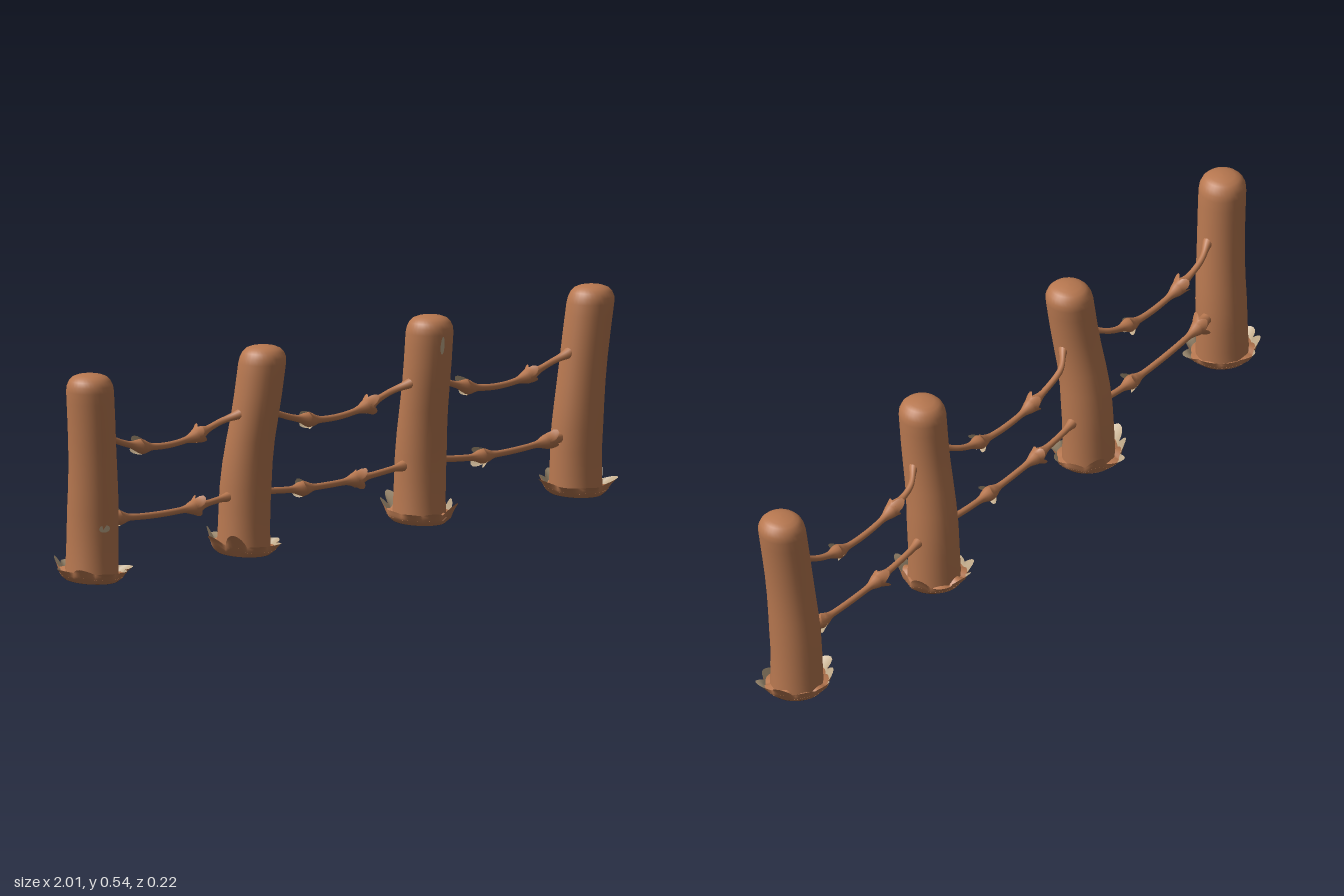
import * as THREE from 'three';

const bark = new THREE.MeshStandardMaterial({ color: 0xb87850, side: THREE.DoubleSide });
bark.name = 'brownBark';
const innerBark = new THREE.MeshStandardMaterial({ color: 0xc0aa8a, side: THREE.DoubleSide });
innerBark.name = 'paleInnerBark';
const hollow = new THREE.MeshStandardMaterial({ color: 0x2e180a, side: THREE.DoubleSide });
hollow.name = 'darkUnderside';

// Seeded random numbers
let seed = 11;
const rand = () => (seed = (seed * 16807) % 2147483647) / 2147483647;

// Closed-around surface: at(row, angle, column) gives each point; flip turns it inside out
function loft(rows, n, at, flip = false) {
  const pos = [], idx = [];
  for (let i = 0; i < rows; i++)
    for (let j = 0; j < n; j++) pos.push(...at(i, (j / n) * Math.PI * 2, j));
  for (let i = 0; i < rows - 1; i++)
    for (let j = 0; j < n; j++) {
      const a = i * n + j, b = i * n + ((j + 1) % n), c = a + n, d = b + n;
      if (flip) idx.push(a, c, b, b, c, d);
      else idx.push(a, b, c, b, d, c);
    }
  const g = new THREE.BufferGeometry();
  g.setAttribute('position', new THREE.Float32BufferAttribute(pos, 3));
  g.setIndex(idx);
  g.computeVertexNormals();
  return g;
}

function add(parent, name, geometry, material) {
  const m = new THREE.Mesh(geometry, material);
  m.name = name;
  parent.add(m);
  return m;
}

// Uneven torn edge: for a column gives the flap's size, flare and rise (0 to 1)
function tornEdge(flaps, per) {
  const tips = Array.from({ length: flaps }, () => ({
    size: rand(), flare: rand(), peak: 0.3 + 0.4 * rand(),
  }));
  return (j) => {
    const tip = tips[Math.floor(j / per)], u = (j % per) / per;
    const rise = u < tip.peak ? u / tip.peak : (1 - u) / (1 - tip.peak);
    return { ...tip, rise: Math.sin((rise * Math.PI) / 2) };
  };
}

// Radius of a post at each height, ending in a rounded top
const profile = [
  [0.012, 0.069], [0.06, 0.067], [0.12, 0.066], [0.18, 0.066], [0.24, 0.064], [0.3, 0.062],
  [0.36, 0.061], [0.42, 0.061], [0.47, 0.061], [0.5, 0.061], [0.515, 0.059], [0.528, 0.053],
  [0.537, 0.044], [0.542, 0.031], [0.545, 0.015], [0.5455, 0],
];

// Centre lines of the posts: x and z at heights 0, 0.13, 0.26, 0.39, 0.52
const posts = [
  { x: [-0.895, -0.893, -0.902, -0.915, -0.928], z: [0, 0.002, 0.012, 0.02, 0.025] },
  { x: [-0.33, -0.328, -0.327, -0.321, -0.31], z: [0, 0.002, 0.014, 0.037, 0.05] },
  { x: [0.322, 0.324, 0.32, 0.314, 0.313], z: [0, 0.002, 0.014, 0.035, 0.047] },
  { x: [0.904, 0.903, 0.907, 0.917, 0.931], z: [0, 0.003, 0.012, 0.021, 0.03] },
];

function makePost({ x, z }) {
  const group = new THREE.Group();
  group.name = 'post';
  const line = new THREE.CatmullRomCurve3(x.map((v, i) => new THREE.Vector3(v, i * 0.13, z[i])));
  add(group, 'trunk', loft(profile.length, 32, (i, a) => {
    const [y, r] = profile[i], c = line.getPoint(Math.min(y / 0.52, 1));
    return [c.x + r * Math.sin(a), y, c.z + r * Math.cos(a)];
  }), bark);

  // Torn bark collar: brown outside, brown shelf against the trunk, pale inside the flaps
  const per = 8, n = 9 * per, edge = tornEdge(9, per), shelf = 0.45;
  const collar = (t, a, j, inset = 0) => {
    const { size, flare, rise } = edge(j);
    const r = 0.068 + 0.015 * Math.sin(Math.min(t * 1.7, 1) * Math.PI / 2)
      + (0.004 + 0.026 * flare) * rise * t * t - inset;
    return [x[0] + r * Math.sin(a),
      0.008 - 0.07 * r * Math.cos(a) + (0.028 + (0.004 + 0.03 * size * size) * rise) * t,
      z[0] + r * Math.cos(a)];
  };
  add(group, 'barkCollarOutside', loft(6, n, (i, a, j) => collar(i / 5, a, j)), bark);
  add(group, 'barkCollarInside', loft(4, n, (i, a, j) =>
    collar(shelf + ((1 - shelf) * i) / 3, a, j, 0.001 * (3 - i)), true), innerBark);
  add(group, 'barkCollarShelf', loft(2, n, (i, a, j) => {
    const p = collar(shelf, a, j);
    return i ? p : [x[0] + 0.064 * Math.sin(a), p[1] + 0.004, z[0] + 0.064 * Math.cos(a)];
  }, true), bark);

  // Dark slanted underside
  const cap = add(group, 'underside', new THREE.CircleGeometry(0.069, 32), hollow);
  cap.rotation.x = Math.PI / 2 + 0.07;
  cap.position.set(x[0], 0.008, z[0]);
  return group;
}

// A sagging vine; its ends bend towards the posts by zFrom and zTo
function makeVine({ from, to, y, sag, knots, zFrom, zTo }) {
  const group = new THREE.Group();
  group.name = 'vine';
  const height = (x) => y - sag * (1 - ((2 * (x - from)) / (to - from) - 1) ** 2);
  const bump = (d, w) => Math.exp(-((d / w) ** 2));
  const depth = (x) => zFrom * bump(x - from, 0.04) + zTo * bump(x - to, 0.04);
  const radius = (x) => 0.0085 + 0.007 * (bump(x - from, 0.025) + bump(x - to, 0.025))
    + knots.reduce((s, k) => s + 0.011 * bump(x - k, 0.026), 0);
  const rows = 90;
  add(group, 'rope', loft(rows, 10, (i, a) => {
    const x = from + ((to - from) * i) / (rows - 1), r = radius(x);
    return [x, height(x) + r * Math.cos(a), depth(x) + r * Math.sin(a)];
  }), bark);

  // Torn bark sleeves around the knots: some flaps hug the vine, others stand out
  knots.forEach((k, side) => {
    const lean = side ? 1 : -1, per = 6, n = 4 * per, edge = tornEdge(4, per);
    const sleeve = (i, a, j, inset = 0) => {
      const t = i / 4, { size, flare, rise } = edge(j);
      const x = k + lean * (-0.01 + (0.01 + (0.006 + 0.018 * size) * rise) * t);
      const r = 0.018 + 0.003 * t + (0.001 + 0.011 * flare) * rise * t * t - inset;
      return [x, height(x) + r * Math.cos(a), depth(x) + r * Math.sin(a)];
    };
    add(group, 'sleeveOutside', loft(5, n, (i, a, j) => sleeve(i, a, j), lean < 0), bark);
    add(group, 'sleeveInside', loft(5, n, (i, a, j) =>
      sleeve(i, a, j, 0.0004 * (4 - i)), lean > 0), innerBark);
  });
  return group;
}

const vines = [
  { from: -0.865, to: -0.365, y: 0.38, sag: 0.062, knots: [-0.71, -0.5], zFrom: 0.02, zTo: 0.036 },
  { from: -0.275, to: 0.27, y: 0.38, sag: 0.068, knots: [-0.088, 0.132], zFrom: 0.036, zTo: 0.034 },
  { from: 0.36, to: 0.867, y: 0.38, sag: 0.062, knots: [0.5, 0.73], zFrom: 0.034, zTo: 0.02 },
  { from: -0.845, to: -0.375, y: 0.16, sag: 0.017, knots: [-0.795, -0.51], zFrom: 0.004, zTo: 0.004 },
  { from: -0.275, to: 0.27, y: 0.158, sag: 0.017, knots: [-0.11, 0.09], zFrom: 0.004, zTo: 0.004 },
  { from: 0.375, to: 0.853, y: 0.16, sag: 0.017, knots: [0.56, 0.8], zFrom: 0.004, zTo: 0.004 },
];

// Small pale bare patches on the bark of two posts
const patches = [
  { at: [-0.9155, 0.147, 0.0655], radii: [0.016, 0.01], tilt: 0.04, turn: -0.34 },
  { at: [0.299, 0.473, 0.1045], radii: [0.006, 0.024], tilt: 0.1, turn: -0.23 },
];

export function createModel() {
  const model = new THREE.Group();
  model.name = 'ropeFence';
  posts.forEach((p) => model.add(makePost(p)));
  vines.forEach((v) => model.add(makeVine(v)));
  patches.forEach(({ at, radii, tilt, turn }) => {
    const patch = add(model, 'barePatch', new THREE.CircleGeometry(1, 10), innerBark);
    patch.scale.set(...radii, 1);
    patch.position.set(...at);
    patch.rotation.set(tilt, turn, 0);
  });
  return model;
}
